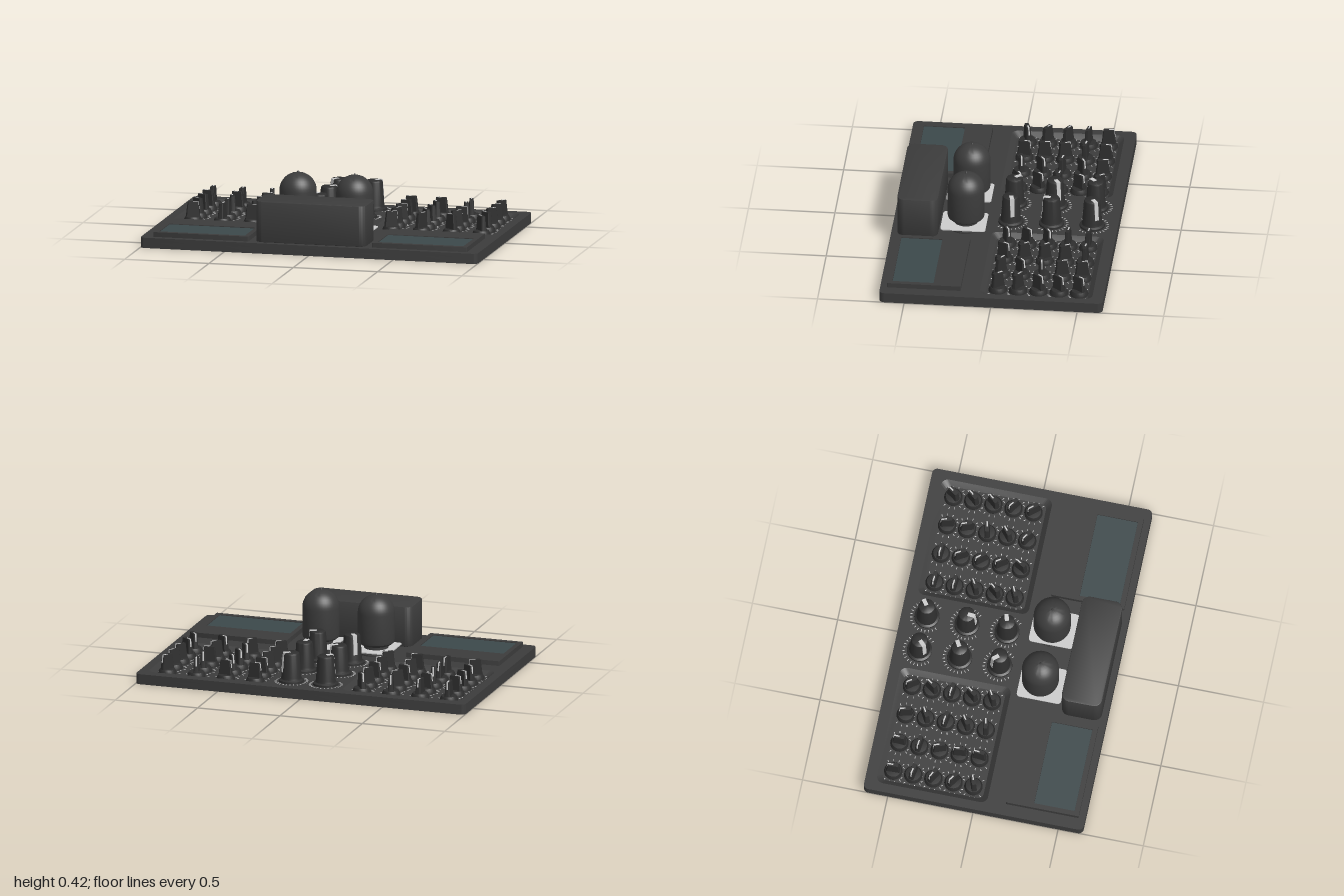
import * as THREE from 'three';
import { mergeGeometries, toCreasedNormals } from 'three/addons/utils/BufferGeometryUtils.js';

const paint = (color) => new THREE.MeshStandardMaterial({ color, side: THREE.DoubleSide });
const dark = paint(0x3c3c3c);
const knobDark = paint(0x2e2e2e);
const light = paint(0xcccccc);
const glass = paint(0x3c484b);

function add(parent, name, geometry, material) {
  const mesh = new THREE.Mesh(geometry, material);
  mesh.name = name;
  parent.add(mesh);
  return mesh;
}

// Rounded rectangle in plan; shape y is -z
function roundRect(x, z, w, d, r, Type = THREE.Shape) {
  const s = new Type();
  const hw = w / 2 - r, hd = d / 2 - r;
  s.absarc(x + hw, -z + hd, r, 0, Math.PI / 2);
  s.absarc(x - hw, -z + hd, r, Math.PI / 2, Math.PI);
  s.absarc(x - hw, -z - hd, r, Math.PI, Math.PI * 1.5);
  s.absarc(x + hw, -z - hd, r, Math.PI * 1.5, Math.PI * 2);
  s.closePath();
  return s;
}

function slab(shape, y0, y1, bevel = 0) {
  const g = new THREE.ExtrudeGeometry(shape, {
    depth: y1 - y0 - 2 * bevel, curveSegments: 8, bevelEnabled: bevel > 0,
    bevelSize: bevel, bevelThickness: bevel, bevelOffset: -bevel, bevelSegments: 2,
  });
  g.rotateX(-Math.PI / 2).translate(0, y0 + bevel, 0);
  return toCreasedNormals(g, 0.6);
}

function lathe(points, segments = 32) {
  const g = new THREE.LatheGeometry(points.map(([r, y]) => new THREE.Vector2(r, y)), segments);
  return toCreasedNormals(g, 0.6);
}

// Sloping wall between two matching outlines
function slopedWall(outer, yOuter, inner, yInner) {
  const a = outer.getPoints(8), b = inner.getPoints(8);
  const pos = [], index = [];
  a.forEach((p, i) => {
    pos.push(p.x, yOuter, -p.y, b[i].x, yInner, -b[i].y);
    if (i < a.length - 1) {
      const k = i * 2;
      index.push(k, k + 2, k + 1, k + 1, k + 2, k + 3);
    }
  });
  const g = new THREE.BufferGeometry();
  g.setAttribute('position', new THREE.Float32BufferAttribute(pos, 3));
  g.setIndex(index);
  g.computeVertexNormals();
  return toCreasedNormals(g, 0.6);
}

// Ring of scale marks around a knob
function tickRing(radius, length, count, y) {
  const marks = [];
  for (let i = 0; i < count; i++) {
    const g = new THREE.BoxGeometry(length, 0.002, 0.004);
    g.translate(radius, y, 0).rotateY(-Math.PI * 0.25 + (i / (count - 1)) * Math.PI * 1.5);
    marks.push(g);
  }
  return mergeGeometries(marks);
}

// White line over the top of a knob and down its side
function pointer(rTop, rLow, yTop, yLow, width, start) {
  const top = new THREE.BoxGeometry(rTop - start, 0.003, width);
  top.translate((rTop + start) / 2, yTop, 0);
  const side = new THREE.BoxGeometry(0.004, Math.hypot(yTop - yLow, rLow - rTop), width);
  side.rotateZ(Math.atan2(rLow - rTop, yTop - yLow));
  side.translate((rTop + rLow) / 2, (yTop + yLow) / 2, 0);
  return mergeGeometries([top, side]);
}

const FLOOR = 0.035, TOP = 0.06;

// Shared knob geometry
const smallSkirt = lathe([[0.053, FLOOR], [0.053, 0.043], [0.044, 0.064], [0, 0.068]], 24);
let grip = new THREE.CylinderGeometry(0.031, 0.042, 0.09, 24);
const gp = grip.attributes.position;
for (let i = 0; i < gp.count; i++) {
  const w = gp.getY(i) > 0 ? 0.012 : 0.016; // flatten both sides into a finger grip
  gp.setZ(i, THREE.MathUtils.clamp(gp.getZ(i), -w, w));
}
grip = toCreasedNormals(grip.translate(0, 0.105, 0), 0.5);
const smallPointer = pointer(0.031, 0.036, 0.15, 0.105, 0.008, 0);
const smallTicks = tickRing(0.069, 0.012, 11, FLOOR + 0.001);

const bigBody = lathe([[0.073, TOP], [0.072, 0.071], [0.06, 0.078], [0.057, 0.09], [0.048, 0.222],
  [0.045, 0.23], [0.039, 0.234], [0, 0.234]]);
const bigPointer = pointer(0.045, 0.055, 0.234, 0.12, 0.024, 0.005);
const bigTicks = tickRing(0.091, 0.014, 21, TOP + 0.001);

function makeKnob(parent, name, x, z, degrees, parts, ticks) {
  const knob = new THREE.Group();
  knob.name = name;
  knob.position.set(x, 0, z);
  const cap = new THREE.Group();
  cap.name = 'knobCap';
  cap.rotation.y = THREE.MathUtils.degToRad(degrees);
  parts.forEach(([part, g, m]) => add(cap, part, g, m));
  knob.add(cap);
  add(knob, 'scaleMarks', ticks, light).rotation.y = 0;
  parent.add(knob);
}

export function createModel() {
  const model = new THREE.Group();
  model.name = 'controlPanel';

  // Base with two sunken knob trays
  add(model, 'baseSlab', slab(roundRect(0, 0, 2, 1.29, 0.03), 0, FLOOR), dark);
  const topShape = roundRect(0, 0, 2, 1.29, 0.03);
  for (const s of [-1, 1]) {
    topShape.holes.push(roundRect(s * 0.588, -0.255, 0.72, 0.65, 0.04, THREE.Path));
    add(model, 'trayWall', slopedWall(
      roundRect(s * 0.588, -0.255, 0.72, 0.65, 0.04), TOP,
      roundRect(s * 0.588, -0.255, 0.66, 0.59, 0.03), FLOOR + 0.0005), dark);
  }
  add(model, 'topPlate', slab(topShape, FLOOR, TOP), dark);

  // Small knobs, five rows of four on each side
  const rows = [-0.497, -0.38, -0.262, -0.144, -0.027];
  const columns = [-0.855, -0.68, -0.503, -0.325, 0.322, 0.5, 0.678, 0.855];
  const angles = [
    [92, 88, 105, 125, 175, 175, 105, 55],
    [170, 172, 30, 55, 175, 120, 110, 50],
    [150, 110, 170, 172, 30, 130, 10, 50],
    [145, 95, 35, 50, 50, 125, 40, 145],
    [20, 85, 10, 30, 25, 60, 145, 130],
  ];
  const smallParts = [['knobSkirt', smallSkirt, knobDark], ['knobGrip', grip, knobDark],
    ['knobPointer', smallPointer, light]];
  rows.forEach((z, r) => columns.forEach((x, c) =>
    makeKnob(model, 'smallKnob', x, z, angles[r][c], smallParts, smallTicks)));

  // Large knobs, three rows of two in the middle
  const bigAngles = [[225, 35], [30, 265], [130, 15]];
  const bigParts = [['knobBody', bigBody, knobDark], ['knobPointer', bigPointer, light]];
  [-0.497, -0.262, -0.027].forEach((z, r) => [-0.107, 0.102].forEach((x, c) =>
    makeKnob(model, 'largeKnob', x, z, bigAngles[r][c], bigParts, bigTicks)));

  // Glass tubes on sockets with light mounting plates
  const tubeProfile = [[0, 0.09], [0.07, 0.09], [0.07, 0.105], [0.09, 0.113], [0.104, 0.125], [0.107, 0.14]];
  for (let i = 0; i <= 10; i++) {
    const a = (i / 10) * Math.PI / 2;
    tubeProfile.push([Math.max(0.107 * Math.cos(a), 0.006), 0.3 + 0.104 * Math.sin(a)]);
  }
  tubeProfile.push([0.004, 0.411], [0, 0.416]);
  const tube = lathe(tubeProfile, 40);
  for (const s of [-1, 1]) {
    const lamp = new THREE.Group();
    lamp.name = 'tubeAssembly';
    lamp.position.set(s * 0.168, 0, 0.225);
    add(lamp, 'tubeSocket', lathe([[0.105, TOP], [0.105, 0.068], [0.095, 0.07], [0.105, 0.073], [0.105, 0.081], [0, 0.081]]), dark);
    add(lamp, 'mountingPlate', slab(roundRect(s * 0.004, 0.01, 0.214, 0.26, 0.02), 0.081, 0.087), light);
    add(lamp, 'tube', tube, dark);
    model.add(lamp);
  }

  // Housing at the front centre
  add(model, 'frontHousing', slab(roundRect(0, 0.493, 0.655, 0.235, 0.045), TOP, 0.298, 0.004), dark);

  // Display panels with inset screens
  for (const s of [-1, 1]) {
    const frame = roundRect(s * 0.648, 0.393, 0.564, 0.426, 0.004);
    frame.holes.push(roundRect(s * 0.648, 0.458, 0.508, 0.238, 0.003, THREE.Path));
    add(model, 'displayFrame', slab(frame, TOP, 0.088), dark);
    const screen = new THREE.BoxGeometry(0.506, 0.024, 0.236);
    add(model, 'displayScreen', screen, glass).position.set(s * 0.648, TOP + 0.012, 0.458);
  }
  return model;
}
